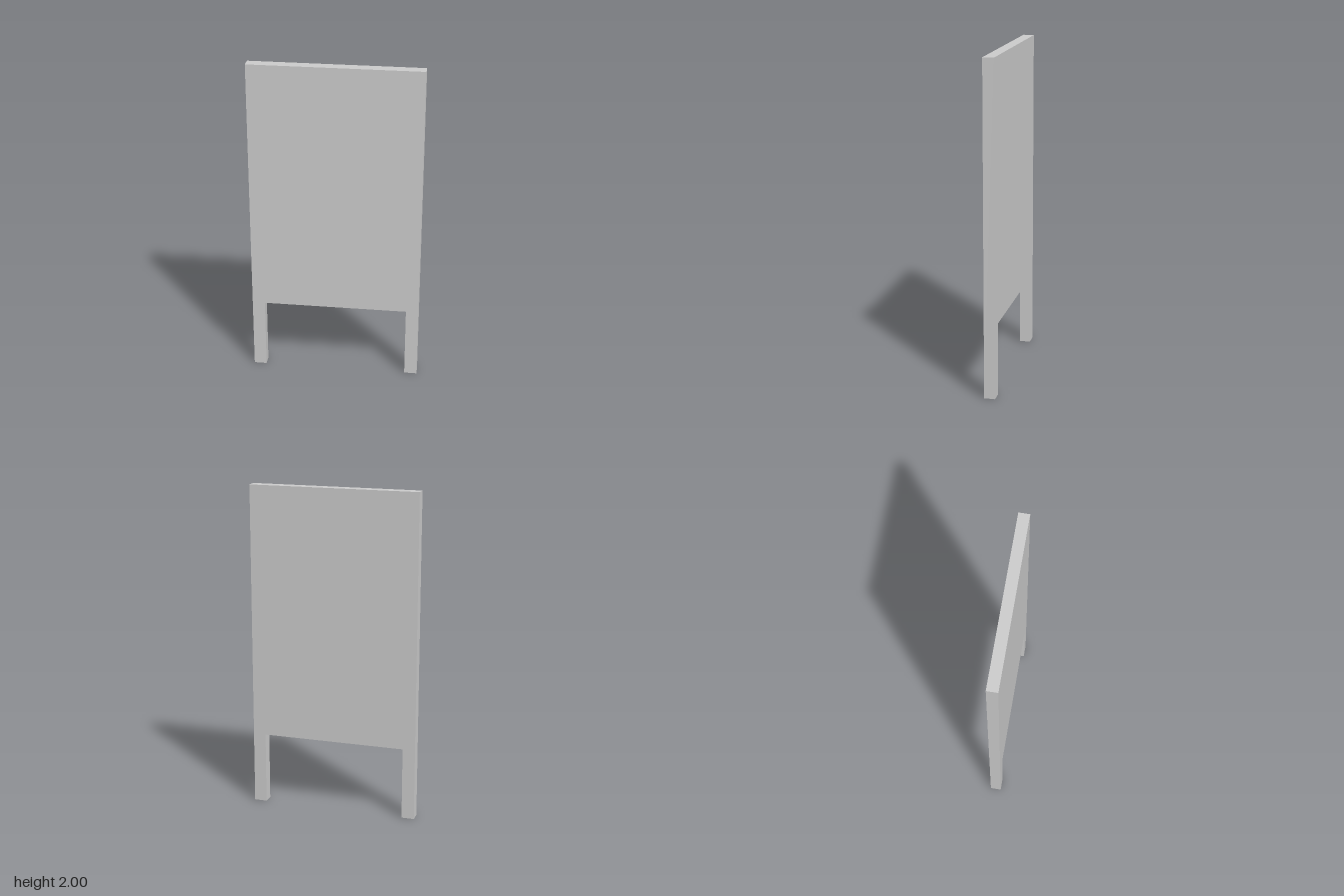
import * as THREE from 'three';

const HALF_WIDTH = 0.518;
const HEIGHT = 2;
const DEPTH = 0.066;
const LEG_INNER = 0.441; // half the gap between the legs
const LEG_HEIGHT = 0.443;

export function createModel() {
  const group = new THREE.Group();
  group.name = 'standingBoard';
  const material = new THREE.MeshStandardMaterial({ color: 0xcccccc, flatShading: true });

  // Flat board and its two legs, cut as one outline
  const outline = new THREE.Shape([
    [-HALF_WIDTH, 0],
    [-LEG_INNER, 0],
    [-LEG_INNER, LEG_HEIGHT],
    [LEG_INNER, LEG_HEIGHT],
    [LEG_INNER, 0],
    [HALF_WIDTH, 0],
    [HALF_WIDTH, HEIGHT],
    [-HALF_WIDTH, HEIGHT],
  ].map(([x, y]) => new THREE.Vector2(x, y)));

  const geometry = new THREE.ExtrudeGeometry(outline, { depth: DEPTH, bevelEnabled: false });
  geometry.translate(0, 0, -DEPTH / 2);

  const board = new THREE.Mesh(geometry, material);
  board.name = 'boardWithLegs';
  group.add(board);
  return group;
}
